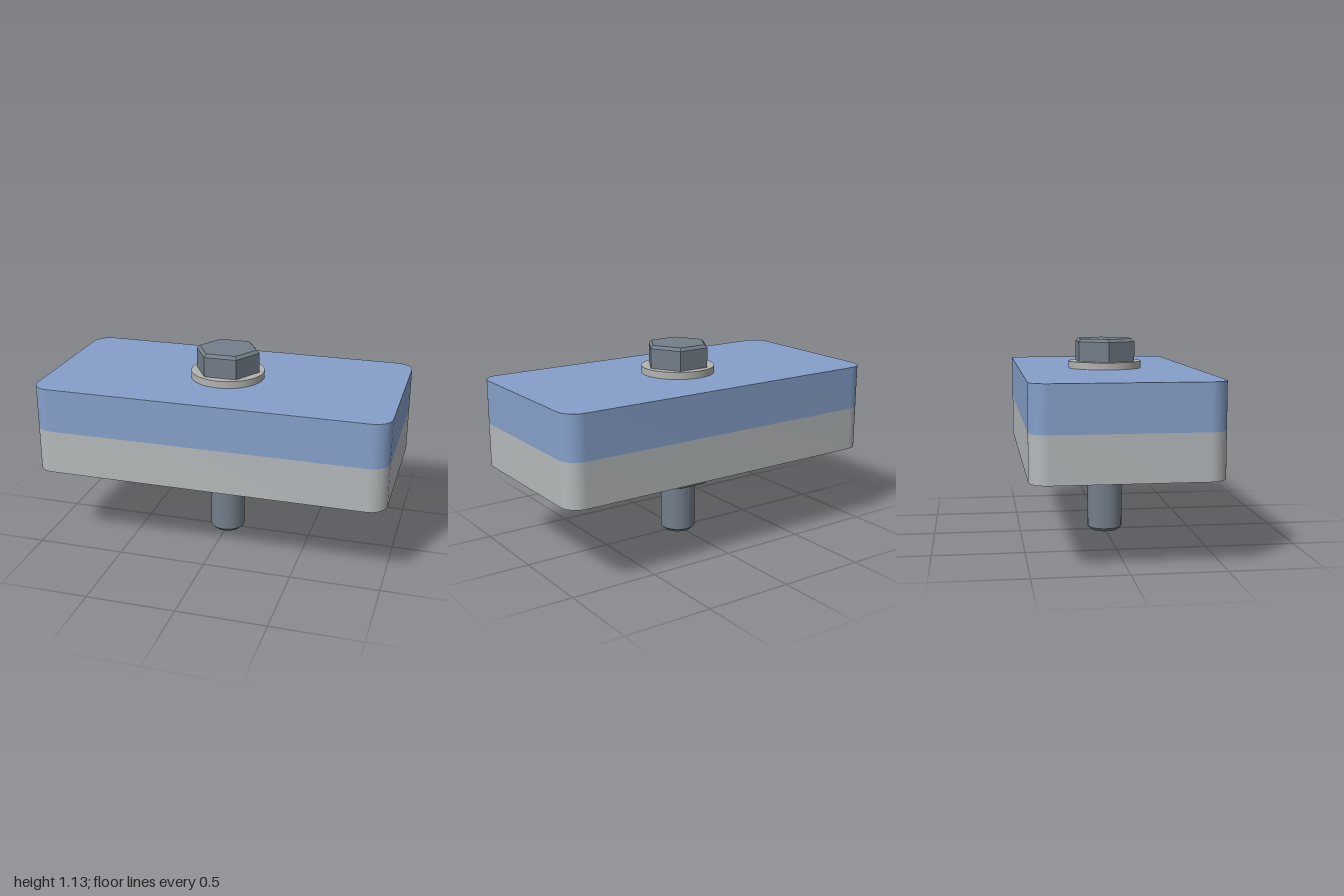
import * as THREE from 'three';
import { toCreasedNormals } from 'three/addons/utils/BufferGeometryUtils.js';

const material = (name, color) => new THREE.MeshStandardMaterial({ name, color });
const v2 = (points) => points.map(([x, y]) => new THREE.Vector2(x, y));

export function createModel() {
  const blue = material('bluePaint', 0x86a0ca);
  const grey = material('lightGrey', 0xb5b9bb);
  const washerGrey = material('washerGrey', 0xb3b3b1);
  const nutGrey = material('nutGrey', 0xafb6b9);
  const steel = material('darkSteel', 0x747f8a);

  const BORE = 0.1;
  const HEX = 0.185;
  const model = new THREE.Group();
  model.name = 'boltedJoint';

  const add = (name, geometry, mat, parent = model) => {
    const mesh = new THREE.Mesh(geometry, mat);
    mesh.name = name;
    parent.add(mesh);
    return mesh;
  };

  // Turned profile (bottom to top on the outside); six sides give a hexagon with corners on x
  const turn = (points, sides = 64) =>
    toCreasedNormals(new THREE.LatheGeometry(v2(points), sides, Math.PI / 2), 0.5);

  const circleHole = (radius) => new THREE.Path().absarc(0, 0, radius, 0, Math.PI * 2, true);

  // Rounded plates with a clearance hole for the bolt
  const plate = (name, y, height, mat) => {
    const w = 1, d = 0.5, r = 0.1;
    const shape = new THREE.Shape();
    shape.absarc(w - r, d - r, r, 0, Math.PI / 2);
    shape.absarc(r - w, d - r, r, Math.PI / 2, Math.PI);
    shape.absarc(r - w, r - d, r, Math.PI, Math.PI * 1.5);
    shape.absarc(w - r, r - d, r, Math.PI * 1.5, Math.PI * 2);
    shape.closePath();
    shape.holes.push(circleHole(BORE));
    const geometry = new THREE.ExtrudeGeometry(shape, {
      depth: height, bevelEnabled: false, curveSegments: 16,
    });
    geometry.rotateX(-Math.PI / 2).translate(0, y, 0);
    add(name, toCreasedNormals(geometry, 0.5), mat);
  };
  plate('lowerPlate', 0.46, 0.25, grey);
  plate('upperPlate', 0.71, 0.25, blue);

  // Washer under the bolt head
  add('washer', turn([
    [BORE, 0.96], [0.21, 0.96], [0.21, 1.0], [BORE, 1.0], [BORE, 0.96],
  ]), washerGrey);

  // Bolt: chamfered shank and hexagonal head
  const bolt = new THREE.Group();
  bolt.name = 'bolt';
  model.add(bolt);
  add('shank', turn([[0, 0], [0.08, 0], [BORE, 0.02], [BORE, 1.0]]), steel, bolt);
  add('head', turn([
    [0, 1.0], [HEX, 1.0], [HEX, 1.113], [0.167, 1.13], [0, 1.13],
  ], 6), steel, bolt);

  // Nut: chamfered hexagon, pierced end faces and a countersunk bore
  const nut = new THREE.Group();
  nut.name = 'nut';
  model.add(nut);
  const endRadius = 0.173, sinkRadius = 0.118;
  add('nutSides', turn([
    [endRadius, 0.3], [HEX, 0.311], [HEX, 0.449], [endRadius, 0.46],
  ], 6), nutGrey, nut);
  add('nutBore', turn([
    [sinkRadius, 0.46], [BORE, 0.442], [BORE, 0.318], [sinkRadius, 0.3],
  ]), nutGrey, nut);
  const hexagon = new THREE.Shape(v2(Array.from({ length: 6 }, (_, i) => [
    endRadius * Math.cos((i * Math.PI) / 3), endRadius * Math.sin((i * Math.PI) / 3),
  ])));
  hexagon.holes.push(circleHole(sinkRadius));
  for (const [name, y, tilt] of [['nutTop', 0.46, -1], ['nutBottom', 0.3, 1]]) {
    const face = new THREE.ShapeGeometry(hexagon, 32);
    face.rotateX((tilt * Math.PI) / 2).translate(0, y, 0);
    add(name, face, nutGrey, nut);
  }

  return model;
}
